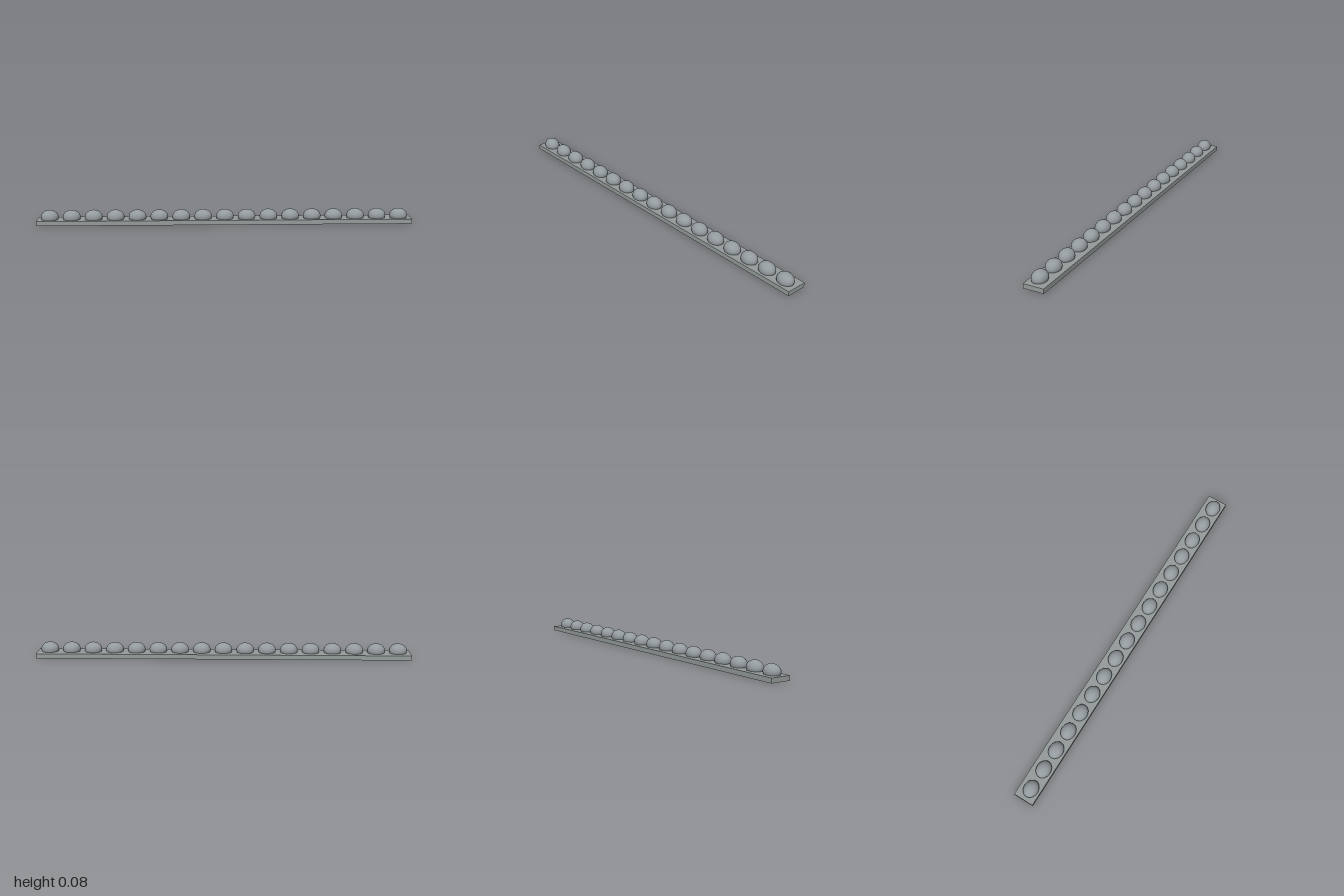
import * as THREE from 'three';

export function createModel() {
  const model = new THREE.Group();
  const stripGrey = new THREE.MeshStandardMaterial({ color: 0x949c9a });
  const domeGrey = new THREE.MeshStandardMaterial({ color: 0x949b9f });
  stripGrey.name = 'strip grey';
  domeGrey.name = 'dome grey';

  // Long flat strip
  const strip = new THREE.Mesh(new THREE.BoxGeometry(2, 0.025, 0.11), stripGrey);
  strip.name = 'baseStrip';
  strip.position.y = 0.0125;
  model.add(strip);

  // Row of domes sunk into the strip, set slightly towards the front
  const count = 17;
  const reach = 0.934;
  const domeGeometry = new THREE.SphereGeometry(1, 32, 20);
  domeGeometry.scale(0.047, 0.0375, 0.0385);
  const domes = new THREE.Group();
  domes.name = 'domeRow';
  for (let i = 0; i < count; i++) {
    const dome = new THREE.Mesh(domeGeometry, domeGrey);
    dome.name = `dome${i + 1}`;
    dome.position.set(-reach + (2 * reach * i) / (count - 1), 0.038, 0.006);
    domes.add(dome);
  }
  model.add(domes);

  return model;
}
